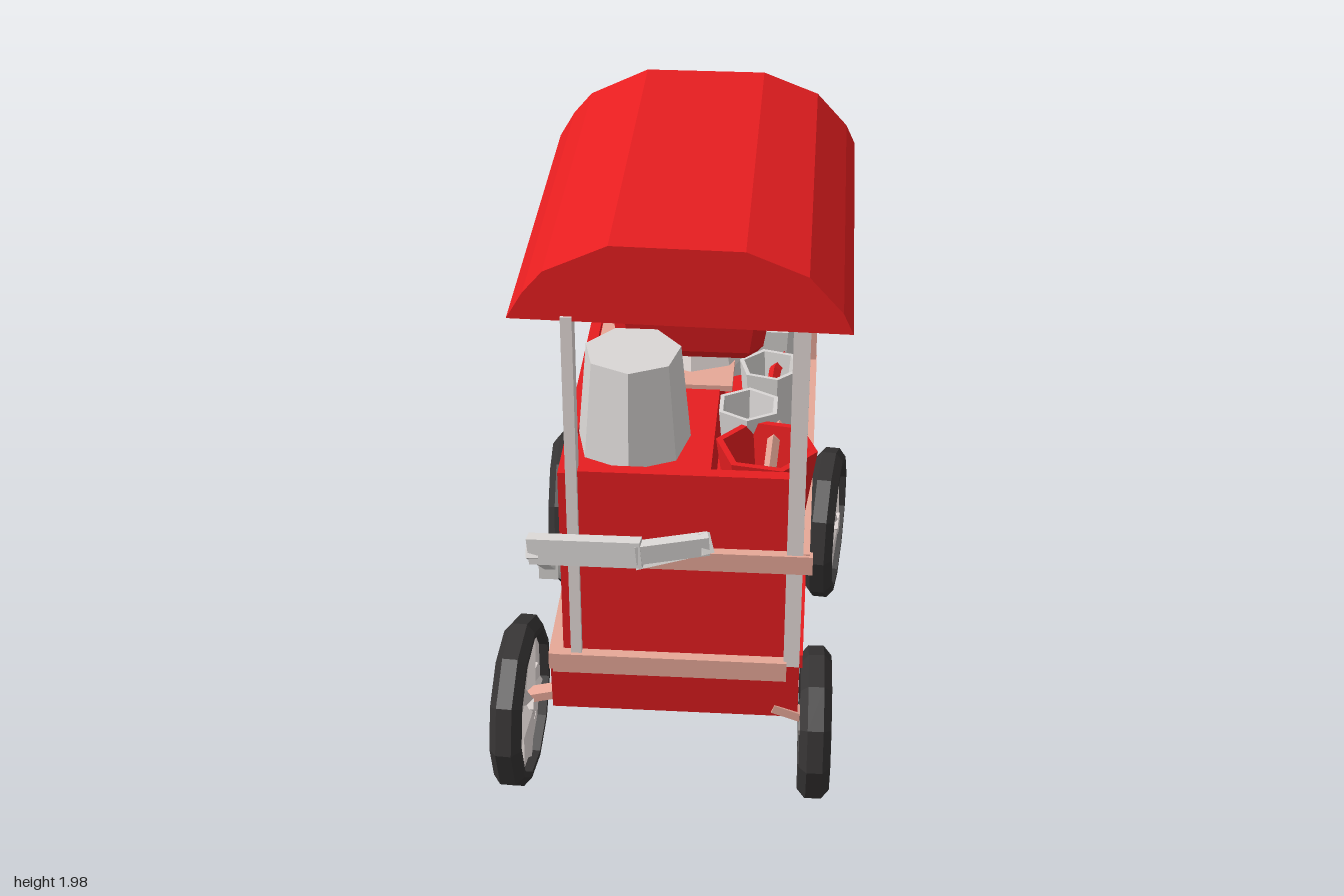
import * as THREE from 'three';

const mat = (name, color) => {
  const m = new THREE.MeshStandardMaterial({ color, flatShading: true, side: THREE.DoubleSide });
  m.name = name;
  return m;
};

export function createModel() {
  const root = new THREE.Group();
  const red = mat('red paint', 0xe81e20);
  const wood = mat('pale wood', 0xf2b09f);
  const steel = mat('steel', 0xdad7d5);
  const pale = mat('pale metal', 0xeee4e1);
  const rubber = mat('rubber', 0x353333);

  const add = (name, geo, m, parent = root) => {
    const mesh = new THREE.Mesh(geo, m);
    mesh.name = name;
    parent.add(mesh);
    return mesh;
  };
  // box given by its limits on each axis
  const box = (name, m, x0, x1, y0, y1, z0, z1) => {
    const b = add(name, new THREE.BoxGeometry(x1 - x0, y1 - y0, z1 - z0), m);
    b.position.set((x0 + x1) / 2, (y0 + y1) / 2, (z0 + z1) / 2);
    return b;
  };
  // flat bar between two points
  const bar = (name, m, a, b, w, t) => {
    const p = new THREE.Vector3(...a), q = new THREE.Vector3(...b);
    const mesh = add(name, new THREE.BoxGeometry(w, t, p.distanceTo(q) + 0.02), m);
    mesh.position.copy(p).lerp(q, 0.5);
    mesh.lookAt(q);
    return mesh;
  };
  const lathe = (pts, sides) =>
    new THREE.LatheGeometry(pts.map(p => new THREE.Vector2(...p)), sides);

  // canopy, its front edge slightly skewed
  const roof = new THREE.Shape([
    [-0.47, 1.755], [0.53, 1.755], [0.5, 1.82], [0.4, 1.93], [0.22, 2],
    [-0.17, 2], [-0.36, 1.91], [-0.42, 1.84]].map(p => new THREE.Vector2(...p)));
  const roofGeo = new THREE.ExtrudeGeometry(roof, { depth: 1.34, bevelEnabled: false });
  const rp = roofGeo.attributes.position;
  for (let i = 0; i < rp.count; i++) if (rp.getZ(i) > 1) rp.setZ(i, 1.34 + rp.getX(i) * 0.03);
  add('canopy', roofGeo, red).position.z = -0.815;

  // lower body: slightly tapered tray
  const tray = box('base', red, -0.38, 0.41, 0.33, 0.55, -0.72, 0.52);
  const tp = tray.geometry.attributes.position;
  for (let i = 0; i < tp.count; i++) if (tp.getY(i) < 0) tp.setZ(i, tp.getZ(i) * 0.96);
  box('baseLip', red, 0.3, 0.42, 0.53, 0.58, -0.7, 0.5);

  // walls, inner cabinet and shelf
  box('sideWall', red, -0.34, -0.305, 0.5, 1.22, -0.66, 0.49);
  box('frontPanel', red, -0.305, 0.37, 0.55, 1.235, 0.46, 0.5);
  box('rearPanel', red, -0.305, -0.18, 0.55, 0.86, -0.68, -0.65);
  box('lowerCabinet', red, -0.31, 0.1, 0.55, 0.92, -0.46, 0.47);
  box('upperCabinet', red, -0.31, 0.12, 0.96, 1.2, -0.56, 0.47);
  box('shelf', red, -0.31, 0.38, 0.92, 0.97, -0.71, 0.48);
  box('counterTop', wood, -0.3, 0.16, 1.195, 1.215, -0.58, -0.08);

  // wooden trim
  box('frontLowerTrim', wood, -0.37, 0.37, 0.5, 0.57, 0.5, 0.535);
  box('rearLowerTrim', wood, -0.37, 0.4, 0.48, 0.6, -0.74, -0.7);
  box('sideLowerTrim', wood, -0.385, -0.34, 0.5, 0.56, -0.1, 0.52);
  box('frontShelfTrim', wood, -0.31, 0.44, 0.91, 0.975, 0.5, 0.53);
  box('rearShelfTrim', wood, -0.33, 0.42, 0.92, 1.0, -0.74, -0.7);
  box('sideShelfTrim', wood, 0.38, 0.43, 0.91, 0.98, -0.73, 0.52);

  // corner posts: x, z, half width, foot height
  for (const [x, z, hw, foot] of [[-0.295, 0.49, 0.017, 0.55], [0.385, 0.49, 0.025, 0.55],
    [-0.33, -0.72, 0.02, 0.42], [0.4, -0.735, 0.025, 0.55]])
    box('post', pale, x - hw, x + hw, foot, 1.77, z - 0.033, z + 0.033);
  box('postFacing', wood, 0.375, 0.428, 0.58, 1.45, -0.702, -0.696);

  // boiler: square with chamfered corners, foot and spout
  const boilerGeo = lathe([[0, 0], [0.22, 0], [0.24, 0.03], [0.31, 0.46], [0, 0.46]], 8);
  boilerGeo.rotateY(Math.PI / 8);
  const bp = boilerGeo.attributes.position;
  for (let i = 0; i < bp.count; i++) {
    const x = bp.getX(i), z = bp.getZ(i), r = Math.hypot(x, z), wide = Math.abs(x) > Math.abs(z);
    bp.setX(i, Math.sign(x) * r * (wide ? 0.98 : 0.8));
    bp.setZ(i, Math.sign(z) * r * (wide ? 0.8 : 1.02));
  }
  add('boiler', boilerGeo, red).position.set(0.02, 1.3, -0.34);
  add('boilerFoot', new THREE.CylinderGeometry(0.15, 0.18, 0.1, 8), pale)
    .position.set(0.02, 1.25, -0.34);
  const spout = add('spout', new THREE.ConeGeometry(0.09, 0.2, 4), red);
  spout.position.set(0.14, 1.59, -0.63);
  spout.rotation.set(-1.4, 0, -0.3);

  // steel canister
  add('canister', lathe([[0, 0], [0.18, 0], [0.15, 0.32], [0, 0.32]], 7), steel)
    .position.set(-0.13, 1.2, 0.25);

  // cups
  const cup = (name, m, x, y, z, r, h, turn, handle) => {
    const g = new THREE.Group();
    g.name = name;
    add('cupBody', lathe([[0, 0], [r * 0.76, 0], [r, h], [r * 0.86, h], [r * 0.65, h * 0.4], [0, h * 0.4]], 6), m, g);
    if (handle) {
      const ring = add('cupHandle', new THREE.TorusGeometry(h * 0.32, 0.02, 4, 6), handle, g);
      ring.position.set(r * 0.95, h * 0.55, 0);
    }
    g.position.set(x, y, z);
    g.rotation.y = turn;
    root.add(g);
  };
  cup('redMug', red, 0.285, 0.97, 0.3, 0.16, 0.26, 1.4, wood);
  const upper = [[0.22, 0.09], [0.28, -0.17, red], [0.28, -0.48], [0.3, -0.63], [0.12, -0.64]];
  upper.forEach(([x, z, handle], i) => cup('upperCup', steel, x, 0.97, z, 0.105, 0.28, i * 1.3, handle));
  const lower = [0.34, 0.13, -0.08, -0.29, -0.53, -0.68];
  lower.forEach((z, i) => cup('lowerCup', steel, 0.26, 0.57, z, 0.125, 0.22, i * 0.9));
  cup('rearBowl', steel, 0.02, 0.57, -0.59, 0.15, 0.24, 0.3);

  // push handle: points with the width of the bar that follows
  const path = [[-0.4, 0.44, -0.1], [-0.355, 1.25, 0.94], [-0.05, 1.275, 0.975], [0.135, 1.29, 0.94], [-0.09, 0.93, 0.51]];
  [0.055, 0.085, 0.06, 0.06].forEach((t, i) => bar('pushHandle', steel, path[i], path[i + 1], 0.035, t));
  box('handleBracket', steel, -0.41, -0.35, 0.82, 0.9, 0.4, 0.48);

  // wheels: faceted tyre, pierced disc, ridged spokes, hub and axle stub
  const wheel = (x, y, z, R, yaw) => {
    const g = new THREE.Group();
    g.name = 'wheel';
    const w = 0.05, ri = R - 0.05;
    add('tyre', lathe([[ri, -w], [R - 0.03, -w], [R, -w / 2], [R, w / 2], [R - 0.03, w], [ri, w], [ri, -w]], 11), rubber, g)
      .rotation.z = Math.PI / 2;
    const polar = (r, a) => new THREE.Vector2(r * Math.cos(a), r * Math.sin(a));
    const disc = new THREE.Shape(Array.from({ length: 22 }, (_, i) => polar(ri + 0.005, i * Math.PI / 11)));
    const ridge = new THREE.CylinderGeometry(0.03, 0.05, ri * 0.95, 4).translate(0, ri * 0.5, 0);
    for (let i = 0; i < 5; i++) {
      const a = i * Math.PI * 0.4 + 0.3;
      disc.holes.push(new THREE.Path([polar(ri * 0.42, a), polar(ri * 0.87, a - 0.28), polar(ri * 0.87, a + 0.28)]));
      // the disc is turned a quarter about y, so disc angle a is this tilt from vertical
      add('spoke', ridge, pale, g).rotation.x = a + Math.PI / 5 - Math.PI / 2;
    }
    const rim = new THREE.ExtrudeGeometry(disc, { depth: 0.04, bevelEnabled: false });
    rim.translate(0, 0, -0.02);
    add('rim', rim, pale, g).rotation.y = Math.PI / 2;
    add('hub', new THREE.CylinderGeometry(0.04, 0.04, 0.1, 6), pale, g).rotation.z = Math.PI / 2;
    g.position.set(x, y, z);
    g.rotation.y = yaw;
    root.add(g);
    bar('axleStub', wood, [Math.sign(x) * 0.34, 0.36, z], [x, y + 0.02, z], 0.05, 0.03);
  };
  wheel(-0.495, 0.3, 0.44, 0.285, -0.06);
  wheel(-0.475, 0.305, -0.715, 0.285, 0.04);
  wheel(0.465, 0.295, 0.48, 0.25, 0.02);
  wheel(0.485, 0.305, -0.68, 0.28, -0.1);
  return root;
}
